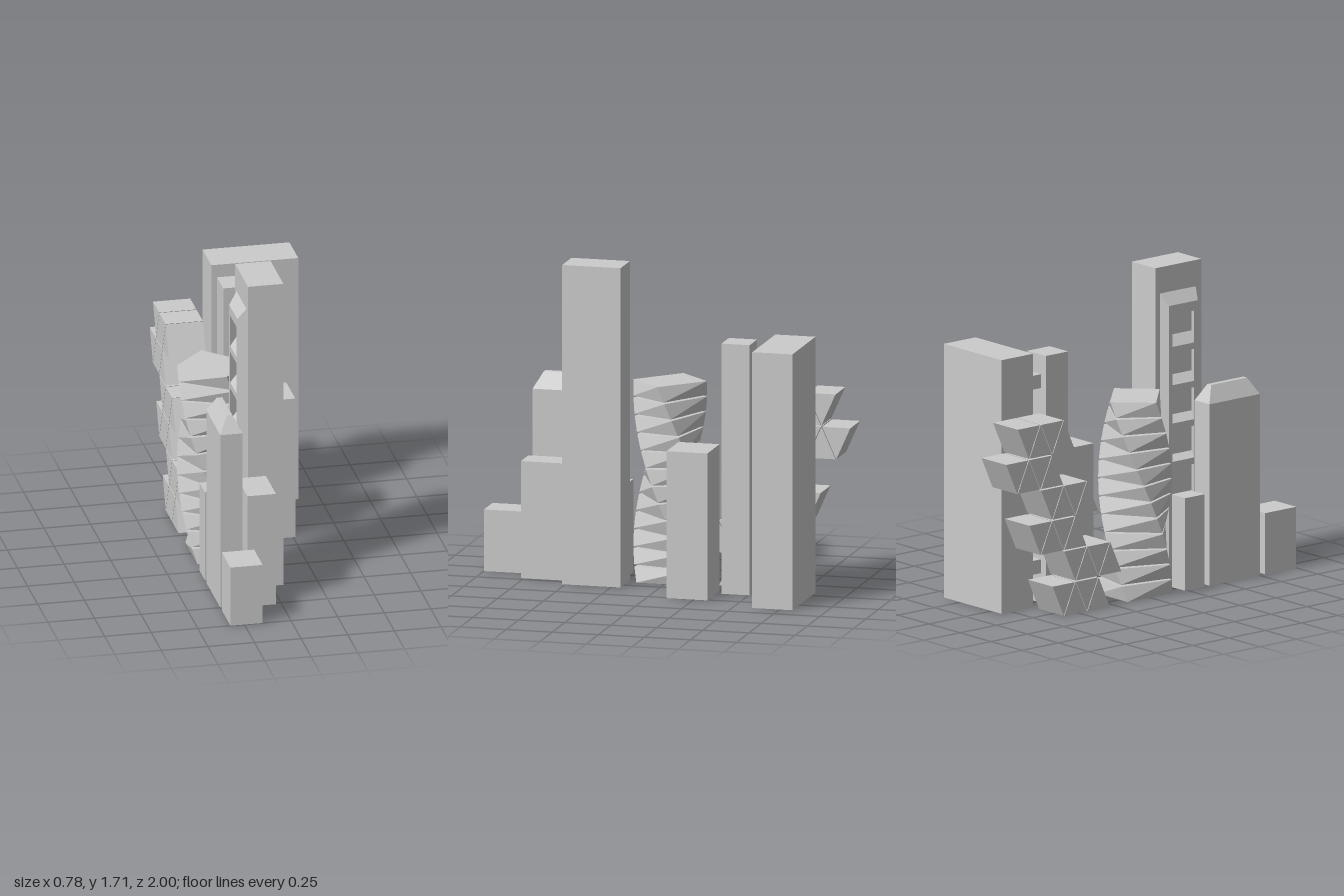
import * as THREE from 'three';

const material = new THREE.MeshStandardMaterial({ color: 0xcccccc, flatShading: true, side: THREE.DoubleSide });

function add(parent, geometry, name) {
  const mesh = new THREE.Mesh(geometry, material);
  mesh.name = name;
  parent.add(mesh);
  return mesh;
}

// Box given by its extents on each axis
function block(parent, name, x0, x1, y0, y1, z0, z1) {
  const g = new THREE.BoxGeometry(x1 - x0, y1 - y0, z1 - z0);
  g.translate((x0 + x1) / 2, (y0 + y1) / 2, (z0 + z1) / 2);
  return add(parent, g, name);
}

// Side profile (u = -z, y) extruded along x from x0 to x1
function extrudeX(shape, x0, x1) {
  const g = new THREE.ExtrudeGeometry(shape, { depth: x1 - x0, bevelEnabled: false });
  return g.rotateY(Math.PI / 2).translate(x0, 0, 0);
}

const polygon = (pts) => new THREE.Shape(pts.map(([u, y]) => new THREE.Vector2(u, y)));

// Stack of slabs, each turned further than the one below
function twistedTower() {
  const group = new THREE.Group();
  group.name = 'twistedTower';
  const layers = 12, pitch = 0.0898, height = 0.081;
  const turn = THREE.MathUtils.degToRad(135) / (layers * pitch);
  for (let i = 0; i < layers; i++) {
    const g = new THREE.BoxGeometry(0.24, height, 0.304);
    g.translate(0, i * pitch + height / 2, 0);
    const p = g.attributes.position;
    for (let k = 0; k < p.count; k++) {
      const x = p.getX(k), z = p.getZ(k), a = p.getY(k) * turn;
      p.setX(k, x * Math.cos(a) - z * Math.sin(a));
      p.setZ(k, x * Math.sin(a) + z * Math.cos(a));
    }
    add(group, g, 'twistedFloor');
  }
  group.position.set(-0.197, 0, 0);
  return group;
}

// Rows of alternating up and down triangular prisms, climbing backwards
function prismStack() {
  const group = new THREE.Group();
  group.name = 'prismStack';
  const rowPitch = 0.1773, h = 0.17, w = 0.076;
  const firstApex = [0.36, 0.28, 0.52, 0.44, 0.68, 0.6];
  firstApex.forEach((start, row) => {
    for (let i = 0; i < 4; i++) {
      const u = start + i * 0.08, y = row * rowPitch;
      const shape = i % 2
        ? polygon([[u, y], [u + w, y + h], [u - w, y + h]])
        : polygon([[u - w, y], [u + w, y], [u, y + h]]);
      add(group, extrudeX(shape, -0.325, -0.125), 'prismRoom');
    }
  });
  return group;
}

// Tower with a hipped roof ending in a narrow flat ridge
function hippedTower() {
  const group = new THREE.Group();
  group.name = 'hippedTower';
  const x0 = -0.325, x1 = -0.205, z0 = 0.403, z1 = 0.75, eave = 0.98, top = 1.068;
  block(group, 'hippedTowerBody', x0, x1, 0, eave, z0, z1);
  const roof = block(group, 'hippedRoof', x0, x1, eave, top, z0, z1);
  const p = roof.geometry.attributes.position;
  for (let k = 0; k < p.count; k++) {
    if (p.getY(k) < top - 0.01) continue;
    p.setX(k, p.getX(k) < -0.265 ? -0.28 : -0.25);
    p.setZ(k, p.getZ(k) < 0.57 ? 0.453 : 0.7);
  }
  return group;
}

// Bay on the tall tower: tapered frame with a column of window openings
function bayFrame() {
  const u0 = -0.478, u1 = -0.232, top = 1.57, mid = (u0 + u1) / 2;
  const shape = polygon([[u0, 0], [u1, 0], [u1, top], [u0, top]]);
  for (let i = 0; i < 7; i++) {
    const y = 0.04 + i * 0.216;
    shape.holes.push(polygon([[u0 + 0.03, y], [u0 + 0.03, y + 0.18], [u1 - 0.03, y + 0.18], [u1 - 0.03, y]]));
  }
  const g = extrudeX(shape, -0.17, -0.125);
  const p = g.attributes.position;
  for (let k = 0; k < p.count; k++) {
    if (p.getX(k) > -0.15) continue;
    p.setZ(k, -mid + (p.getZ(k) + mid) * 0.81);
    p.setY(k, p.getY(k) * 1.505 / top);
  }
  return g;
}

export function createModel() {
  const model = new THREE.Group();
  model.name = 'towerCluster';

  // Front group
  block(model, 'frontLowBlock', -0.325, -0.152, 0, 0.33, 0.787, 1);
  block(model, 'frontMidBlock', -0.183, -0.03, 0, 0.627, 0.517, 0.766);
  block(model, 'smallBlock', -0.325, -0.22, 0, 0.5, 0.235, 0.37);
  model.add(hippedTower());

  // Tall tower and its side bay
  block(model, 'tallTower', -0.126, 0.064, 0, 1.71, 0.2, 0.517);
  add(model, bayFrame(), 'towerBay');

  // Middle and back groups
  model.add(twistedTower());
  block(model, 'middleBlock', 0.017, 0.262, 0, 0.787, -0.325, -0.103);
  block(model, 'slimTower', -0.07, 0.08, 0, 1.34, -0.506, -0.352);
  block(model, 'wideTower', -0.08, 0.386, 0, 1.37, -0.82, -0.602);

  // Bridges between the slim and wide towers
  for (let i = 0; i < 5; i++) {
    const y = 0.16 + i * 0.25;
    block(model, 'bridge', -0.032, 0.038, y, y + 0.075, -0.602, -0.506);
  }

  model.add(prismStack());
  return model;
}
